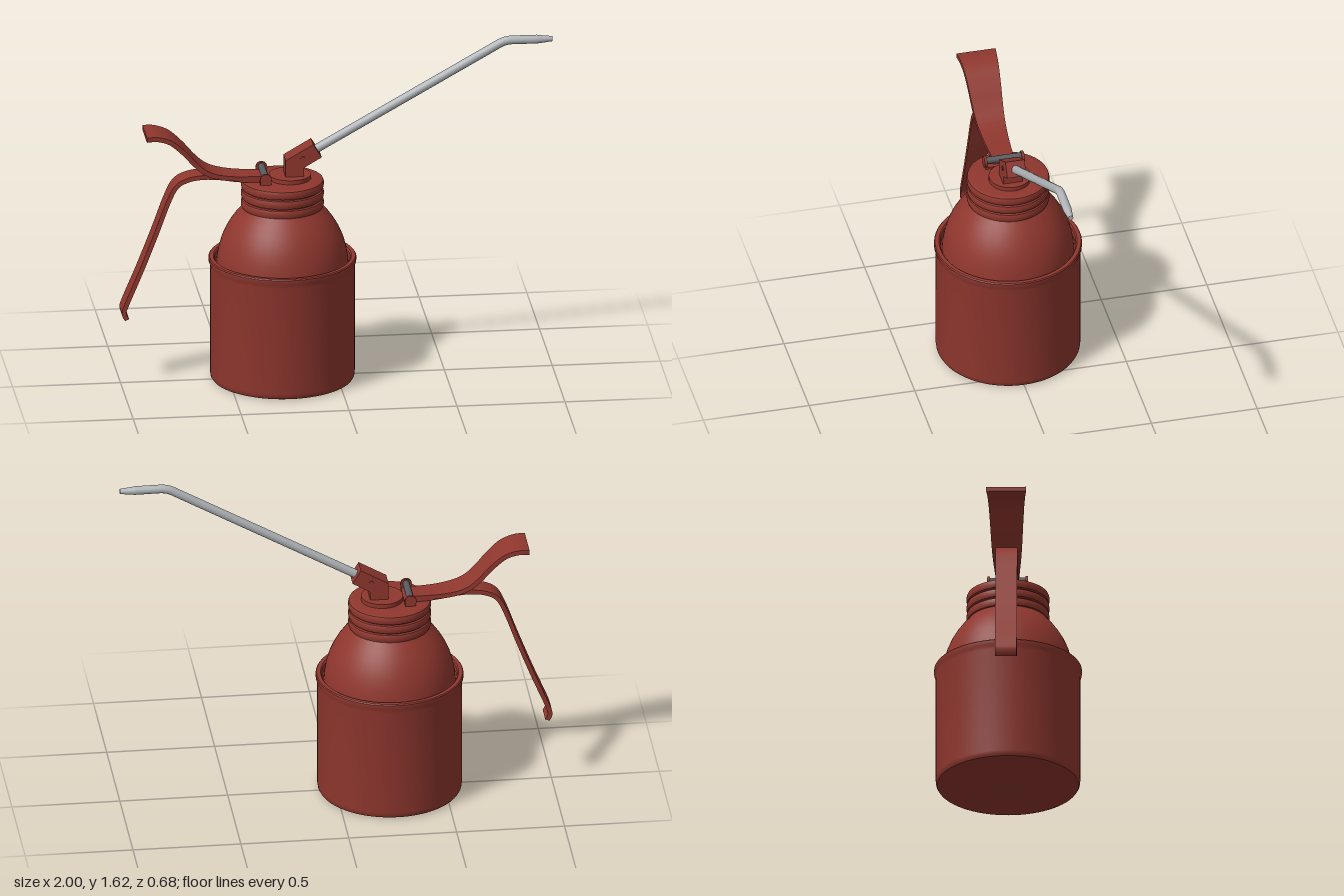
import * as THREE from 'three';
import { toCreasedNormals } from 'three/addons/utils/BufferGeometryUtils.js';

const red = new THREE.MeshStandardMaterial({ color: 0x8f372e });
red.name = 'red paint';
const silver = new THREE.MeshStandardMaterial({ color: 0xb0b4b8 });
silver.name = 'silver metal';
const dark = new THREE.MeshStandardMaterial({ color: 0x555b5f });
dark.name = 'dark steel';

const AXIS_X = -0.25; // centre line of the can
const v2 = (p) => new THREE.Vector2(p[0], p[1]);

function add(group, name, geometry, material, x = 0, y = 0, z = 0) {
  const mesh = new THREE.Mesh(geometry, material);
  mesh.name = name;
  mesh.position.set(x, y, z);
  group.add(mesh);
  return mesh;
}

// Turned part around the can's axis, profile listed from bottom to top
function turned(points) {
  return toCreasedNormals(new THREE.LatheGeometry(points.map(v2), 72), 0.6);
}

// Bent sheet-metal strip in the xy plane; halfWidth(x) tapers it across z
function strip(points, thickness, halfWidth) {
  const curve = new THREE.SplineCurve(points.map(v2));
  const upper = [], lower = [], steps = 48;
  for (let i = 0; i <= steps; i++) {
    const p = curve.getPoint(i / steps), t = curve.getTangent(i / steps);
    const n = new THREE.Vector2(-t.y, t.x).multiplyScalar(thickness / 2);
    upper.push(p.clone().add(n));
    lower.push(p.clone().sub(n));
  }
  const shape = new THREE.Shape([...lower, ...upper.reverse()]);
  const geo = new THREE.ExtrudeGeometry(shape, { depth: 2, bevelEnabled: false });
  geo.translate(0, 0, -1);
  const pos = geo.attributes.position;
  for (let i = 0; i < pos.count; i++) pos.setZ(i, pos.getZ(i) * halfWidth(pos.getX(i)));
  return toCreasedNormals(geo, 0.6);
}

export function createModel() {
  const model = new THREE.Group();
  model.name = 'oilCan';

  // Cup-shaped reservoir with a flared, open rim
  add(model, 'reservoir', turned([
    [0, 0], [0.315, 0], [0.325, 0.004], [0.331, 0.014], [0.333, 0.03],
    [0.333, 0.545], [0.336, 0.56], [0.34, 0.57], [0.34, 0.587], [0.336, 0.592],
    [0.318, 0.592], [0.312, 0.585], [0.31, 0.56], [0.29, 0.555],
  ]), red, AXIS_X);

  // Domed shoulder
  add(model, 'shoulder', turned([
    [0.305, 0.545], [0.301, 0.59], [0.293, 0.635], [0.28, 0.68], [0.262, 0.722],
    [0.24, 0.76], [0.215, 0.795], [0.193, 0.82], [0.18, 0.835],
  ]), red, AXIS_X);

  // Screw collar with three rounded ridges
  const collar = [[0.17, 0.828]];
  for (let ridge = 0; ridge < 3; ridge++) {
    for (let k = 0; k <= 6; k++) {
      const a = (k / 6) * Math.PI;
      collar.push([0.178 + 0.013 * Math.sqrt(Math.sin(a) + 1e-6), 0.832 + ridge * 0.046 + 0.021 * (1 - Math.cos(a))]);
    }
  }
  collar.push([0.165, 0.968], [0, 0.968]);
  add(model, 'collar', turned(collar), red, AXIS_X);

  // Raised cap under the spout block
  add(model, 'cap', new THREE.CylinderGeometry(0.097, 0.097, 0.025, 48), red, -0.215, 0.9755);

  // Bent spout block
  const block = new THREE.ExtrudeGeometry(new THREE.Shape([
    [-0.24, 0.98], [-0.155, 0.98], [-0.155, 1.03], [-0.073, 1.078], [-0.112, 1.142], [-0.24, 1.068],
  ].map(v2)), { depth: 0.09, bevelEnabled: false });
  add(model, 'spoutBlock', block, red, 0, 0, -0.045);
  for (const side of [-1, 1]) {
    const rivet = add(model, 'blockRivet', new THREE.CylinderGeometry(0.011, 0.011, 0.006, 16), red, -0.16, 1.075, side * 0.046);
    rivet.rotation.x = Math.PI / 2;
  }

  // Long spout tube with a soft elbow and a tapered nozzle
  const p = (x, y) => new THREE.Vector3(x, y, 0);
  const path = new THREE.CurvePath();
  path.add(new THREE.LineCurve3(p(-0.11, 1.096), p(0.755, 1.584)));
  path.add(new THREE.QuadraticBezierCurve3(p(0.755, 1.584), p(0.782, 1.599), p(0.815, 1.599)));
  path.add(new THREE.LineCurve3(p(0.815, 1.599), p(0.93, 1.598)));
  add(model, 'spoutTube', new THREE.TubeGeometry(path, 120, 0.02, 20), silver);
  const nozzle = add(model, 'nozzle', new THREE.CylinderGeometry(0.012, 0.02, 0.072, 20), silver, 0.964, 1.5975);
  nozzle.rotation.z = -Math.PI / 2;

  // Thumb lever, widening toward its free end
  add(model, 'thumbLever', strip([
    [-0.888, 1.211], [-0.835, 1.21], [-0.775, 1.188], [-0.715, 1.135], [-0.66, 1.073],
    [-0.61, 1.03], [-0.55, 1.006], [-0.46, 0.992], [-0.335, 0.988],
  ], 0.022, (x) => 0.05 + 0.042 * Math.pow(THREE.MathUtils.clamp((-0.34 - x) / 0.55, 0, 1), 1.2)), red);

  // Lower grip handle with a hooked end
  add(model, 'gripHandle', strip([
    [-0.33, 0.978], [-0.45, 0.984], [-0.54, 0.998], [-0.62, 1.003], [-0.69, 0.993], [-0.745, 0.962],
    [-0.785, 0.885], [-0.84, 0.735], [-0.91, 0.555], [-0.978, 0.392], [-0.988, 0.35], [-0.975, 0.322],
  ], 0.021, () => 0.05), red);

  // Hinge pin held by two round ears
  const pin = add(model, 'hingePin', new THREE.CylinderGeometry(0.016, 0.016, 0.17, 20), dark, -0.337, 1.0);
  pin.rotation.x = Math.PI / 2;
  for (const side of [-1, 1]) {
    const ear = add(model, 'hingeEar', new THREE.CylinderGeometry(0.027, 0.027, 0.012, 28), red, -0.337, 0.995, side * 0.088);
    ear.rotation.x = Math.PI / 2;
  }
  add(model, 'hingeBase', new THREE.BoxGeometry(0.05, 0.012, 0.18), red, -0.337, 0.972);

  return model;
}
